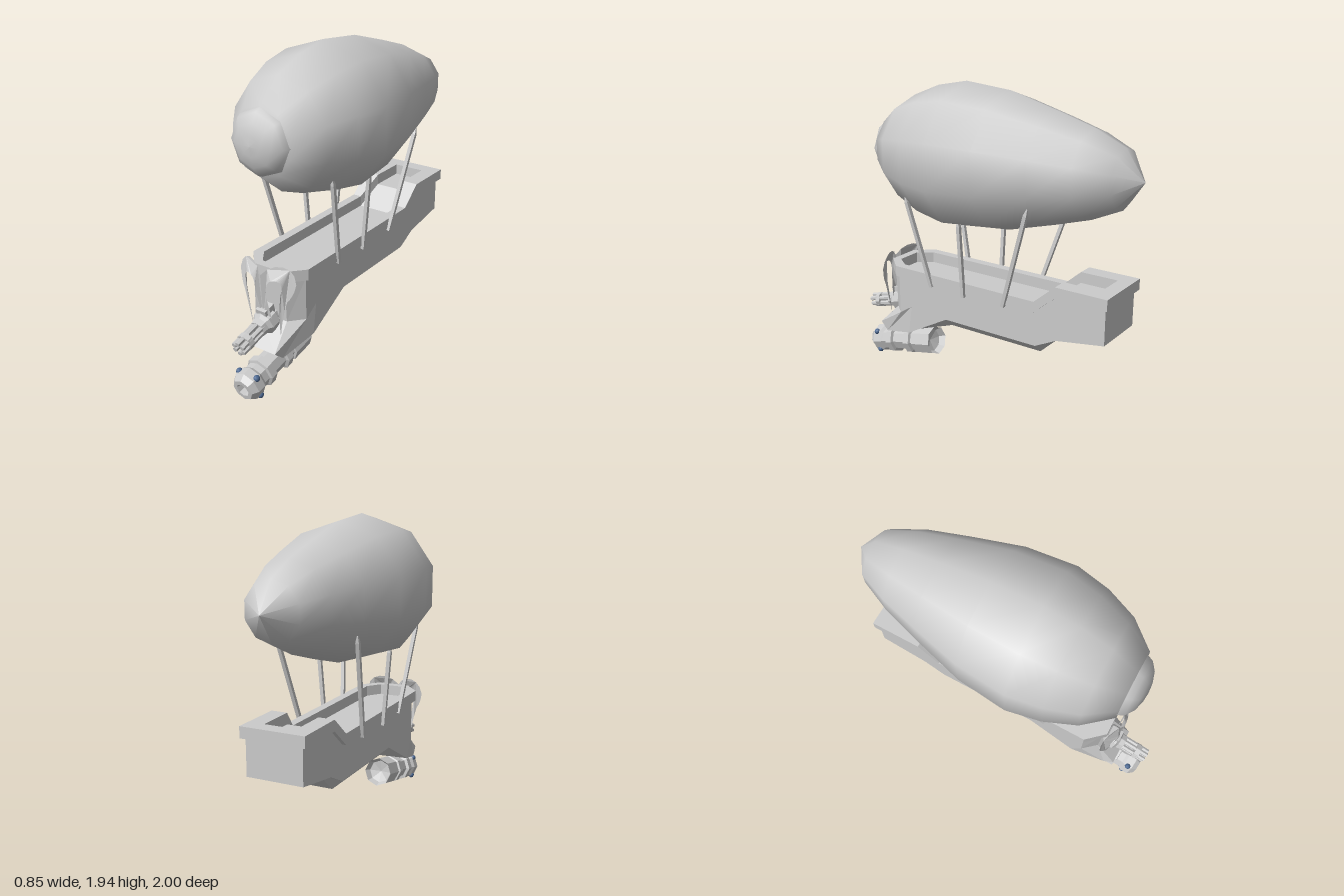
import * as THREE from 'three';

const V2 = (a) => a.map(([s, r]) => new THREE.Vector2(r, s));
const flat = new THREE.MeshStandardMaterial({ color: 0xcccccc, flatShading: true });
const smooth = new THREE.MeshStandardMaterial({ color: 0xcccccc });
const sheet = new THREE.MeshStandardMaterial({ color: 0xcccccc, flatShading: true, side: THREE.DoubleSide });
const blue = new THREE.MeshStandardMaterial({ color: 0x4d6a94 });

function add(parent, name, geometry, material = flat) {
  const mesh = new THREE.Mesh(geometry, material);
  mesh.name = name;
  parent.add(mesh);
  return mesh;
}

// Turned part running along the group's y axis, given as [position, radius] pairs
const turned = (pairs, sides) => new THREE.LatheGeometry(V2(pairs), sides);

// Skin over a row of closed cross-sections, either a ring or capped at both ends
function loft(ribs, ring) {
  const out = [], m = ribs.length, n = ribs[0].length;
  const quad = (a, b, c, d) => out.push(...a, ...b, ...c, ...a, ...c, ...d);
  for (let i = 0; i < (ring ? m : m - 1); i++) {
    const p = ribs[i], q = ribs[(i + 1) % m];
    for (let j = 0; j < n; j++) {
      const k = (j + 1) % n;
      quad(p[j], q[j], q[k], p[k]);
    }
  }
  if (!ring) {
    const b = ribs[0], f = ribs[m - 1];
    for (let j = 0; j < n / 2 - 1; j++) {
      quad(b[j], b[j + 1], b[n - 2 - j], b[n - 1 - j]);
      quad(f[n - 1 - j], f[n - 2 - j], f[j + 1], f[j]);
    }
  }
  const g = new THREE.BufferGeometry();
  g.setAttribute('position', new THREE.Float32BufferAttribute(out, 3));
  g.computeVertexNormals();
  return g;
}
const flip = ([x, y, z]) => [-x, y, z];

function buildBalloon(root) {
  const balloon = new THREE.Group();
  balloon.name = 'balloon';
  balloon.position.y = 1.51;
  balloon.rotation.x = Math.PI / 2;
  add(balloon, 'envelope', turned([[-1, 0], [-0.88, 0.172], [-0.69, 0.258], [-0.45, 0.33], [-0.14, 0.415],
    [0.17, 0.445], [0.38, 0.405], [0.57, 0.33], [0.73, 0.2], [0.73, 0]], 10), smooth);
  add(balloon, 'noseCap', turned([[0.725, 0.195], [0.765, 0.175], [0.8, 0.125], [0.818, 0.06], [0.823, 0]], 8), smooth);
  root.add(balloon);
}

function buildHull(root) {
  // Half sections: deck edge, mid side, lower side, belly edge
  const W = 0.175;
  const straight = (z, top, low, belly, w) =>
    [[W, top, z], [W, (top + low) / 2, z], [W, low, z], [w, belly, z]];
  const halves = [
    straight(-0.89, 0.82, 0.6, 0.6, 0.1),
    straight(-0.58, 0.82, 0.55, 0.55, 0.1),
    straight(-0.44, 0.7, 0.48, 0.42, 0.11),
    straight(0.22, 0.7, 0.48, 0.42, 0.11),
    [[W, 0.7, 0.5], [W, 0.5, 0.5], [W, 0.31, 0.53], [0.11, 0.31, 0.53]],
    [[W, 0.7, 0.595], [W, 0.44, 0.595], [0.13, 0.25, 0.76], [0.1, 0.25, 0.76]],
    [[0.1, 0.7, 0.69], [0.1, 0.44, 0.68], [0.12, 0.3, 0.82], [0.09, 0.3, 0.82]],
  ];
  add(root, 'hull', loft(halves.map((h) => [...h, ...h.map(flip).reverse()])));

  // Raised rim around the deck: outer x, z, inner x, z, underside height
  const path = [
    [0.1, 0.71, 0.08, 0.66, 0.7], [0.2, 0.6, 0.145, 0.57, 0.7], [0.2, -0.44, 0.145, -0.44, 0.7],
    [0.2, -0.58, 0.1, -0.58, 0.82], [0.2, -0.91, 0.1, -0.82, 0.82],
  ];
  const side = path.map(([ox, oz, ix, iz, y]) => [[ox, y, oz], [ox, y + 0.068, oz], [ix, y + 0.068, iz], [ix, y, iz]]);
  add(root, 'deckRim', loft([...side, ...side.map((r) => r.map(flip)).reverse()], true));
}

function buildStruts(root) {
  const struts = [
    [[0.26, 1.27, 0.45], [0.2, 0.69, 0.31]],
    [[0.245, 1.18, 0.06], [0.205, 0.68, 0.06]],
    [[0.265, 1.33, -0.43], [0.205, 0.69, -0.23]],
  ];
  for (const s of [1, -1]) {
    for (const [t, b] of struts) {
      const top = new THREE.Vector3(t[0] * s, t[1], t[2]);
      const low = new THREE.Vector3(b[0] * s, b[1], b[2]);
      const dir = top.clone().sub(low), L = dir.length();
      const g = turned([[0, 0], [0, 0.016], [L - 0.04, 0.016], [L, 0.005], [L, 0]], 4);
      g.rotateY(Math.PI / 4);
      const strut = add(root, 'strut', g);
      strut.position.copy(low);
      strut.quaternion.setFromUnitVectors(new THREE.Vector3(0, 1, 0), dir.normalize());
    }
  }
}

function buildFigurehead(root) {
  // Half of a curved plate with an outer tusk and a central stem
  const s = new THREE.Shape();
  s.moveTo(0, 0.75);
  s.bezierCurveTo(0.06, 0.84, 0.19, 0.83, 0.2, 0.72);
  s.quadraticCurveTo(0.19, 0.65, 0.155, 0.61);
  s.quadraticCurveTo(0.125, 0.52, 0.1, 0.37);
  s.quadraticCurveTo(0.1, 0.52, 0.13, 0.69);
  s.quadraticCurveTo(0.13, 0.74, 0.085, 0.735);
  s.quadraticCurveTo(0.03, 0.73, 0.04, 0.62);
  s.lineTo(0.06, 0.48);
  s.lineTo(0, 0.46);
  const g = new THREE.ShapeGeometry(s, 6);
  const p = g.attributes.position;
  for (let i = 0; i < p.count; i++) {
    const x = p.getX(i), y = p.getY(i);
    p.setZ(i, 0.785 - 1.8 * x * x - Math.max(0, y - 0.74) * 0.5 - Math.max(0, 0.62 - y) * 0.12);
  }
  g.computeVertexNormals();
  const head = new THREE.Group();
  head.name = 'figurehead';
  for (const k of [1, -1]) add(head, 'figureheadHalf', g, sheet).scale.x = k;
  root.add(head);
}

function buildGun(root) {
  const gun = new THREE.Group();
  gun.name = 'rotaryGun';
  gun.position.set(0, 0.455, 0.7);
  gun.rotation.x = Math.PI / 2 + 0.26;
  add(gun, 'gunBody', turned([[-0.05, 0], [-0.05, 0.04], [-0.01, 0.045], [0.01, 0.075], [0.07, 0.075],
    [0.09, 0.055], [0.125, 0.05], [0.125, 0]], 8));
  add(gun, 'barrelClamp', turned([[0.21, 0], [0.21, 0.052], [0.245, 0.052], [0.245, 0]], 8));
  for (let i = 0; i < 6; i++) {
    const a = i * Math.PI / 3;
    const barrel = add(gun, 'barrel', new THREE.CylinderGeometry(0.015, 0.015, 0.19, 6));
    barrel.position.set(0.034 * Math.sin(a), 0.2, 0.034 * Math.cos(a));
  }
  // Bracket joining the gun to the prow
  const bracket = add(gun, 'gunBracket', new THREE.BoxGeometry(0.07, 0.08, 0.05));
  bracket.position.set(0, 0.03, -0.07);
  root.add(gun);
}

function buildCannon(root) {
  const cannon = new THREE.Group();
  cannon.name = 'cannon';
  cannon.position.set(0, 0.212, 0.44);
  cannon.rotation.x = Math.PI / 2 + 0.21;
  // Stepped body with a hollow breech and an open muzzle
  add(cannon, 'cannonBody', turned([[0.06, 0], [0.04, 0.075], [0, 0.094], [0.15, 0.094], [0.15, 0.077],
    [0.175, 0.077], [0.18, 0.096], [0.225, 0.096], [0.23, 0.075], [0.335, 0.075], [0.34, 0.096], [0.385, 0.096],
    [0.39, 0.078], [0.43, 0.078], [0.45, 0.094], [0.505, 0.094], [0.54, 0.068], [0.54, 0.042], [0.46, 0.038], [0.46, 0]], 8), sheet);
  // Studs around the muzzle
  for (let i = 0; i < 4; i++) {
    const a = Math.PI / 4 + i * Math.PI / 2;
    const stud = add(cannon, 'muzzleStud', new THREE.SphereGeometry(0.02, 8, 6), blue);
    stud.position.set(0.09 * Math.sin(a), 0.475, 0.09 * Math.cos(a));
  }
  root.add(cannon);
}

export function createModel() {
  const root = new THREE.Group();
  root.name = 'airship';
  [buildBalloon, buildHull, buildStruts, buildFigurehead, buildGun, buildCannon].forEach((build) => build(root));
  return root;
}
